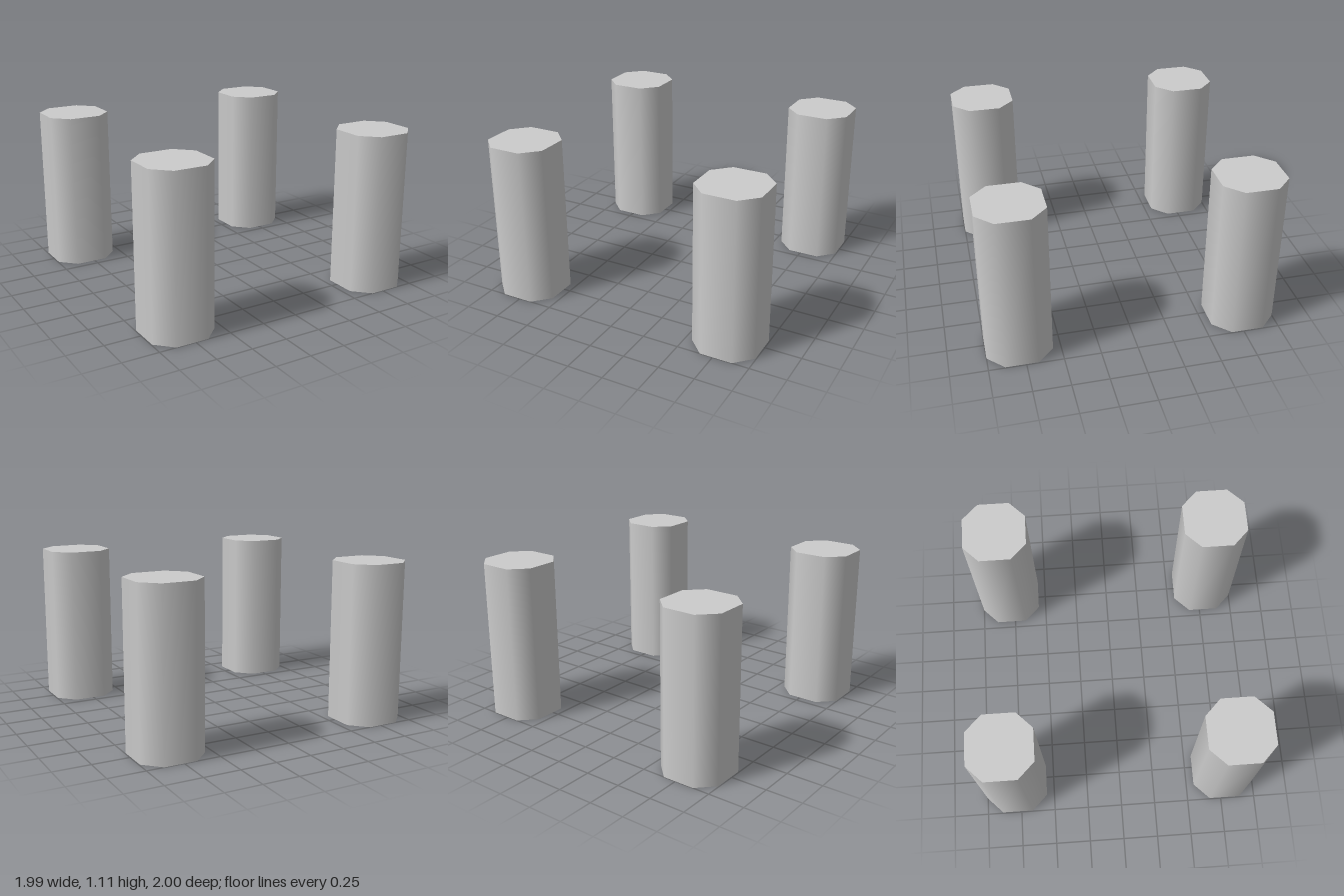
import * as THREE from 'three';

// Eight-sided pillar: wide flats on the axes, 45 degree cut corners, smooth side
function pillarGeometry(half, flatHalf, height) {
  const geo = new THREE.CylinderGeometry(half, half, height, 8, 1, false, Math.PI / 8);
  const pos = geo.attributes.position;
  for (let i = 0; i < pos.count; i++) {
    const x = pos.getX(i), z = pos.getZ(i);
    const xIsLong = Math.abs(x) > Math.abs(z);
    pos.setX(i, Math.sign(x) * (xIsLong ? half : flatHalf));
    pos.setZ(i, Math.sign(z) * (xIsLong ? flatHalf : half));
  }
  return geo.translate(0, height / 2, 0);
}

export function createModel() {
  const model = new THREE.Group();
  model.name = 'pillars';
  const material = new THREE.MeshStandardMaterial({ color: 0xcccccc });
  const geometry = pillarGeometry(0.222, 0.111, 1.112);

  // One pillar at each corner
  for (const sx of [-1, 1]) {
    for (const sz of [-1, 1]) {
      const pillar = new THREE.Mesh(geometry, material);
      pillar.name = (sz > 0 ? 'front' : 'back') + (sx > 0 ? 'Left' : 'Right') + 'Pillar';
      pillar.position.set(sx * 0.772, 0, sz * 0.778);
      model.add(pillar);
    }
  }
  return model;
}
